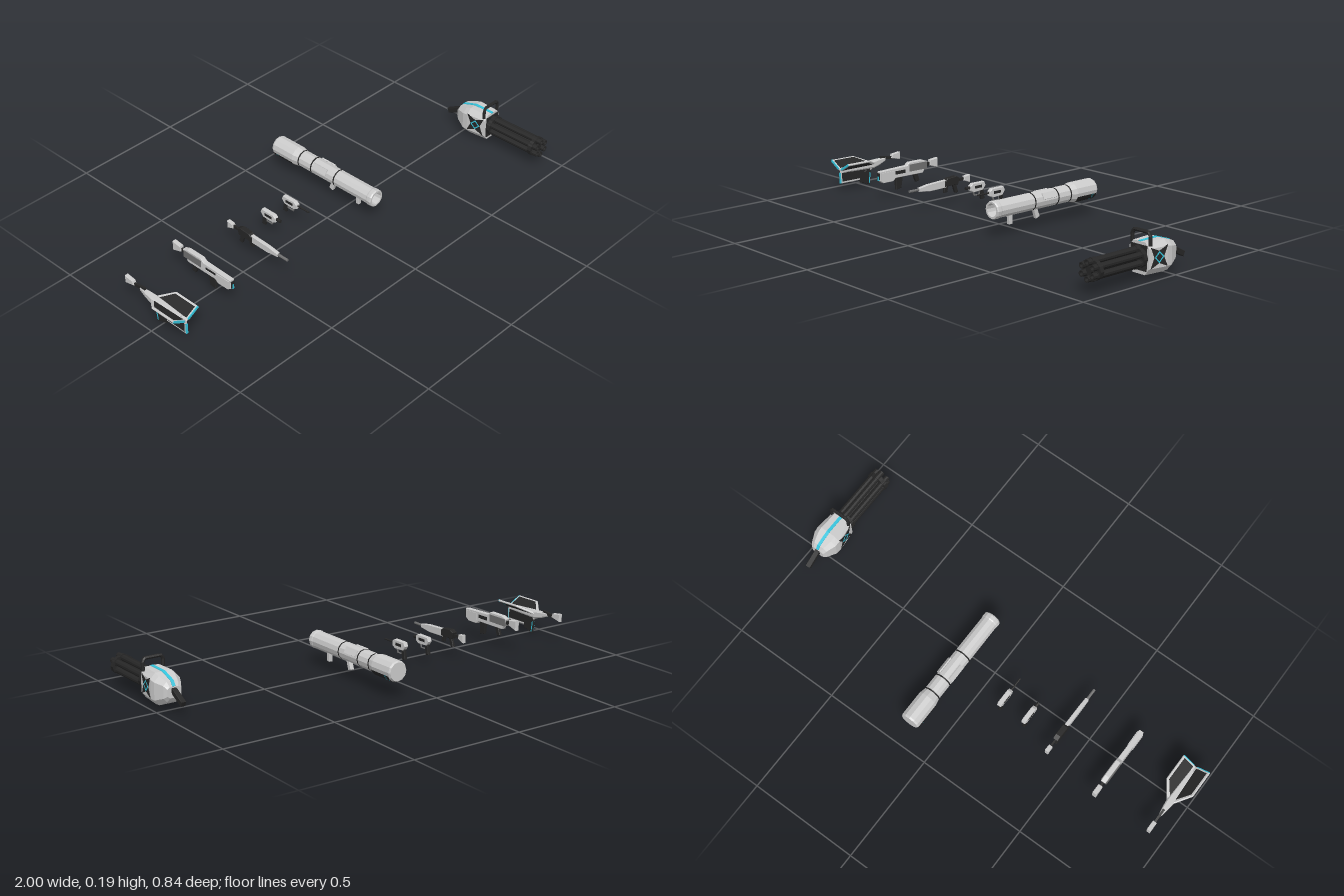
import * as THREE from 'three';

const mat = (color) => new THREE.MeshStandardMaterial({ color, flatShading: true, side: THREE.DoubleSide });
const GREY = mat(0xcccccc), MID = mat(0x707070), DARK = mat(0x262626), CYAN = mat(0x35c4dc);

function add(parent, name, geo, material, x = 0, y = 0, z = 0) {
  const m = new THREE.Mesh(geo, material);
  m.name = name;
  m.position.set(x, y, z);
  parent.add(m);
  return m;
}
const box = (p, name, m, w, h, d, x, y, z) => add(p, name, new THREE.BoxGeometry(w, h, d), m, x, y, z);

// Side profile of [z, y] points, extruded symmetrically across x, with small bevels
function slab(p, name, m, pts, width, holes = [], bevel = 0.002) {
  const shape = new THREE.Shape(pts.map((a) => new THREE.Vector2(...a)));
  holes.forEach((h) => shape.holes.push(new THREE.Path(h.map((a) => new THREE.Vector2(...a)))));
  const geo = new THREE.ExtrudeGeometry(shape, {
    depth: width - 2 * bevel, bevelEnabled: bevel > 0, bevelSize: bevel, bevelOffset: -bevel,
    bevelThickness: bevel, bevelSegments: 1,
  });
  geo.translate(0, 0, -width / 2 + bevel).rotateY(-Math.PI / 2);
  return add(p, name, geo, m);
}

// Cylinder lying along z between two stations
function rod(p, name, m, r, z0, z1, x = 0, y = 0, sides = 10) {
  const geo = new THREE.CylinderGeometry(r, r, Math.abs(z1 - z0), sides).rotateX(Math.PI / 2);
  return add(p, name, geo, m, x, y, (z0 + z1) / 2);
}

// Lofted eight-sided hull: each section is [z, width, yTop, yBottom]
function hull(sections) {
  const outline = [[0.62, 1], [1, 0.82], [1, 0.2], [0.62, 0], [-0.62, 0], [-1, 0.2], [-1, 0.82], [-0.62, 1]];
  const pos = [], idx = [], n = 8;
  sections.forEach(([z, w, top, bot]) => outline.forEach(([u, v]) => pos.push(u * w, bot + v * (top - bot), z)));
  for (let s = 0; s < sections.length - 1; s++)
    for (let i = 0; i < n; i++) {
      const a = s * n + i, b = s * n + (i + 1) % n;
      idx.push(a, b, a + n, b, b + n, a + n);
    }
  const last = (sections.length - 1) * n;
  for (let i = 1; i < n - 1; i++) idx.push(0, i + 1, i, last, last + i, last + i + 1);
  const geo = new THREE.BufferGeometry();
  geo.setAttribute('position', new THREE.Float32BufferAttribute(pos, 3));
  geo.setIndex(idx);
  geo.computeVertexNormals();
  return geo;
}

function rotaryCannon() {
  const g = new THREE.Group(), cy = 0.0875;
  add(g, 'cannonBody', hull([
    [0.14, 0.05, 0.148, 0.02], [0.045, 0.06, 0.148, 0.018], [0.02, 0.058, 0.14, 0.02],
    [-0.022, 0.04, 0.126, 0.042], [-0.036, 0.03, 0.105, 0.06],
  ]), GREY);
  box(g, 'frontPlate', DARK, 0.08, 0.1, 0.008, 0, 0.086, 0.141);
  rod(g, 'barrelCore', DARK, 0.014, 0.14, 0.41, 0, cy);
  // Six barrels with lobed clamps
  for (let i = 0; i < 6; i++) {
    const a = Math.PI / 6 + i * Math.PI / 3;
    const x = 0.032 * Math.cos(a), y = cy + 0.032 * Math.sin(a);
    add(g, 'barrel', new THREE.LatheGeometry([[0.013, 0], [0.013, 0.28], [0.008, 0.28], [0.008, 0.24], [0, 0.24]]
      .map((v) => new THREE.Vector2(...v)), 10).rotateX(Math.PI / 2), DARK, x, y, 0.142);
    for (const z of [0.39, 0.155]) rod(g, 'clampLobe', DARK, 0.0155, z - 0.011, z + 0.011, x, y);
  }
  for (const z of [0.39, 0.155]) rod(g, 'clampDisc', DARK, 0.042, z - 0.009, z + 0.009, 0, cy, 12).scale.x = 1.22;
  // Carrying loop, top stripe and rear grip
  const loop = new THREE.CatmullRomCurve3([[-0.045, 0.135], [-0.046, 0.172], [-0.036, 0.187], [0.036, 0.187],
    [0.046, 0.172], [0.045, 0.135]].map(([x, y]) => new THREE.Vector3(x, y, 0)), false, 'catmullrom', 0.1);
  add(g, 'carryHandle', new THREE.TubeGeometry(loop, 20, 0.0075, 6), DARK, 0, 0, 0.129);
  slab(g, 'topStripe', CYAN, [[0.14, 0.146], [0.14, 0.15], [0.045, 0.15], [0.02, 0.142], [-0.023, 0.128],
    [-0.036, 0.108], [-0.03, 0.1], [-0.02, 0.12], [0.045, 0.146]], 0.014, [], 0);
  slab(g, 'rearGrip', DARK, [[-0.025, 0.102], [-0.04, 0.1], [-0.112, 0.062], [-0.102, 0.042], [-0.03, 0.078]], 0.022);
  // Four-pointed inset and diamond ring on both flanks
  const star = [], ring = [], inner = [];
  for (let i = 0; i < 8; i++) {
    const a = i * Math.PI / 4, r = i % 2 ? 0.06 : 0.024;
    star.push([0.089 + r * Math.cos(a), 0.0875 + r * Math.sin(a)]);
    if (i % 2 === 0) {
      ring.push([0.089 + 0.024 * Math.cos(a), 0.0875 + 0.024 * Math.sin(a)]);
      inner.push([0.089 + 0.017 * Math.cos(a), 0.0875 + 0.017 * Math.sin(a)]);
    }
  }
  for (const s of [-1, 1]) {
    for (const [name, m, pts, holes, dx] of [['flankInset', DARK, star, [], 0.0555], ['flankDiamond', CYAN, ring, [inner], 0.0565]]) {
      const holder = new THREE.Group();
      const part = slab(holder, name, m, pts, 0.003, holes, 0);
      part.position.z = -0.089;
      holder.position.set(s * dx, 0, 0.089);
      holder.rotation.y = -s * 0.105;
      g.add(holder);
    }
  }
  return g;
}

function launcher() {
  const g = new THREE.Group(), cy = 0.114;
  // Tube profile as [radius, z], hollow at the muzzle
  const profile = [[0, -0.42], [0.04, -0.42], [0.0445, -0.412], [0.0445, -0.297], [0.038, -0.268], [0.038, 0.135],
    [0.04, 0.14], [0.04, 0.156], [0.037, 0.162], [0.029, 0.162], [0.026, 0.1], [0, 0.1]];
  add(g, 'launchTube', new THREE.LatheGeometry(profile.map((v) => new THREE.Vector2(...v)), 12)
    .rotateX(Math.PI / 2), GREY, 0, cy);
  rod(g, 'boreBottom', DARK, 0.0262, 0.1, 0.115, 0, cy, 12);
  for (const z of [-0.055, -0.19, -0.265]) rod(g, 'tubeBand', DARK, 0.0388, z - 0.003, z + 0.003, 0, cy, 12);
  // Dark shell under the rear flare, with thin lit bands
  const shell = (name, m, r, z0, z1) => add(g, name, new THREE.CylinderGeometry(r, r, z1 - z0, 8, 1, true,
    -Math.PI * 0.4, Math.PI * 0.8).rotateX(Math.PI / 2), m, 0, cy, (z0 + z1) / 2);
  shell('rearShell', DARK, 0.0462, -0.41, -0.296);
  for (const z of [-0.384, -0.391]) shell('rearLight', CYAN, 0.0468, z - 0.0012, z + 0.0012);
  for (const s of [-1, 1]) box(g, 'sidePanel', GREY, 0.006, 0.028, 0.078, s * 0.0315, 0.134, -0.139).rotation.z = s * 0.52;
  slab(g, 'rearGrip', GREY, [[-0.07, 0.085], [-0.09, 0.085], [-0.106, 0.043], [-0.085, 0.036]], 0.018);
  slab(g, 'frontGrip', GREY, [[0.072, 0.085], [0.05, 0.085], [0.052, 0.038], [0.068, 0.038]], 0.018);
  return g;
}

function pistol(longBarrel) {
  const g = new THREE.Group(), muzzle = longBarrel ? 0.012 : -0.03;
  slab(g, 'pistolBody', GREY, [[-0.14, 0.105], [-0.132, 0.122], [-0.065, 0.122], [-0.052, 0.112], [-0.052, 0.092],
    [-0.07, 0.082], [-0.125, 0.085]], 0.02);
  for (const s of [-1, 1]) box(g, 'sideInset', DARK, 0.002, 0.012, 0.04, s * 0.0102, 0.104, -0.095);
  rod(g, 'pistolBarrel', DARK, longBarrel ? 0.004 : 0.007, -0.055, muzzle, 0, 0.104, 8);
  slab(g, 'pistolGrip', DARK, [[-0.108, 0.09], [-0.13, 0.09], [-0.136, 0.046], [-0.118, 0.042]], 0.014);
  slab(g, 'triggerGuard', MID, [[-0.07, 0.086], [-0.112, 0.086], [-0.112, 0.064], [-0.078, 0.064]], 0.005,
    [[[-0.078, 0.083], [-0.108, 0.083], [-0.108, 0.068], [-0.082, 0.068]]], 0);
  return g;
}

function slimRifle() {
  const g = new THREE.Group();
  slab(g, 'stock', GREY, [[-0.183, 0.118], [-0.152, 0.114], [-0.148, 0.095], [-0.183, 0.082]], 0.018);
  box(g, 'stockNeck', DARK, 0.008, 0.012, 0.05, 0, 0.102, -0.132);
  slab(g, 'receiver', DARK, [[-0.12, 0.114], [-0.1, 0.124], [-0.05, 0.12], [-0.035, 0.11], [-0.035, 0.085], [-0.11, 0.085]], 0.025);
  slab(g, 'foreStock', GREY, [[-0.045, 0.115], [0.06, 0.11], [0.11, 0.102], [0.11, 0.086], [0.05, 0.078], [-0.045, 0.08]], 0.017);
  rod(g, 'barrel', MID, 0.006, 0.1, 0.162, 0, 0.094, 8);
  slab(g, 'grip', DARK, [[-0.082, 0.09], [-0.102, 0.09], [-0.116, 0.048], [-0.098, 0.046]], 0.013);
  slab(g, 'magazine', DARK, [[-0.035, 0.09], [-0.06, 0.09], [-0.052, 0.058], [-0.033, 0.056]], 0.012);
  return g;
}

function heavyRifle() {
  const g = new THREE.Group();
  slab(g, 'stock', GREY, [[-0.22, 0.145], [-0.175, 0.14], [-0.172, 0.115], [-0.22, 0.1]], 0.02);
  box(g, 'stockNeck', DARK, 0.01, 0.016, 0.04, 0, 0.122, -0.158);
  slab(g, 'frame', GREY, [[-0.158, 0.138], [-0.13, 0.148], [-0.05, 0.148], [-0.035, 0.135], [0.12, 0.13], [0.12, 0.088],
    [0.1, 0.075], [0.045, 0.075], [0.03, 0.088], [-0.13, 0.088]], 0.022,
  [[[-0.03, 0.122], [0.035, 0.122], [0.035, 0.102], [-0.03, 0.102]]]);
  box(g, 'innerCore', DARK, 0.012, 0.03, 0.1, 0, 0.112, 0);
  box(g, 'rearHousing', MID, 0.028, 0.032, 0.1, 0, 0.122, -0.1);
  box(g, 'frontHousing', GREY, 0.028, 0.032, 0.07, 0, 0.107, 0.078);
  box(g, 'muzzleBlock', DARK, 0.018, 0.03, 0.01, 0, 0.108, 0.118);
  box(g, 'muzzleLight', CYAN, 0.008, 0.02, 0.006, 0, 0.098, 0.122);
  slab(g, 'grip', DARK, [[-0.075, 0.092], [-0.1, 0.092], [-0.112, 0.055], [-0.092, 0.05]], 0.014);
  slab(g, 'magazine', DARK, [[0.025, 0.092], [-0.015, 0.092], [-0.005, 0.036], [0.025, 0.032]], 0.014);
  return g;
}

function finnedRifle() {
  const g = new THREE.Group(), cy = 0.092;
  slab(g, 'stock', GREY, [[-0.21, 0.13], [-0.165, 0.124], [-0.158, 0.106], [-0.21, 0.094]], 0.018);
  box(g, 'stockNeck', DARK, 0.009, 0.014, 0.07, 0, 0.112, -0.132).rotation.x = -0.15;
  add(g, 'core', hull([[0.11, 0.011, 0.104, 0.08], [-0.05, 0.016, 0.112, 0.076], [-0.085, 0.012, 0.114, 0.084],
    [-0.125, 0.006, 0.114, 0.1]]), GREY);
  // Three fins around the core: grey frame, dark panel, lit front edge
  [[-1.05, 0.075], [1.05, 0.075], [Math.PI, 0.062]].forEach(([angle, r]) => {
    const fin = new THREE.Group();
    fin.name = 'fin';
    slab(fin, 'finFrame', GREY, [[0.138, 0], [0.138, r], [0.015, r], [-0.055, 0.014], [-0.055, 0]], 0.009);
    slab(fin, 'finPanel', DARK, [[0.13, 0.012], [0.13, r - 0.009], [0.018, r - 0.009], [-0.035, 0.016]], 0.011, [], 0);
    box(fin, 'finLight', CYAN, 0.0095, r - 0.012, 0.004, 0, r / 2 + 0.005, 0.138);
    fin.position.y = cy;
    fin.rotation.z = angle;
    g.add(fin);
  });
  slab(g, 'grip', DARK, [[0.03, 0.05], [0.025, 0.018], [-0.028, 0], [-0.037, 0.062], [-0.03, 0.085]], 0.012);
  slab(g, 'gripLight', CYAN, [[-0.022, 0.008], [-0.027, 0.007], [-0.034, 0.055], [-0.029, 0.06]], 0.0135, [], 0);
  return g;
}

export function createModel() {
  const model = new THREE.Group();
  [['finnedRifle', finnedRifle(), -0.935], ['heavyRifle', heavyRifle(), -0.67], ['slimRifle', slimRifle(), -0.402],
    ['shortPistol', pistol(false), -0.249], ['longPistol', pistol(true), -0.123], ['launcher', launcher(), 0.133],
    ['rotaryCannon', rotaryCannon(), 0.938]].forEach(([name, group, x]) => {
    group.name = name;
    group.position.x = x;
    model.add(group);
  });
  return model;
}
